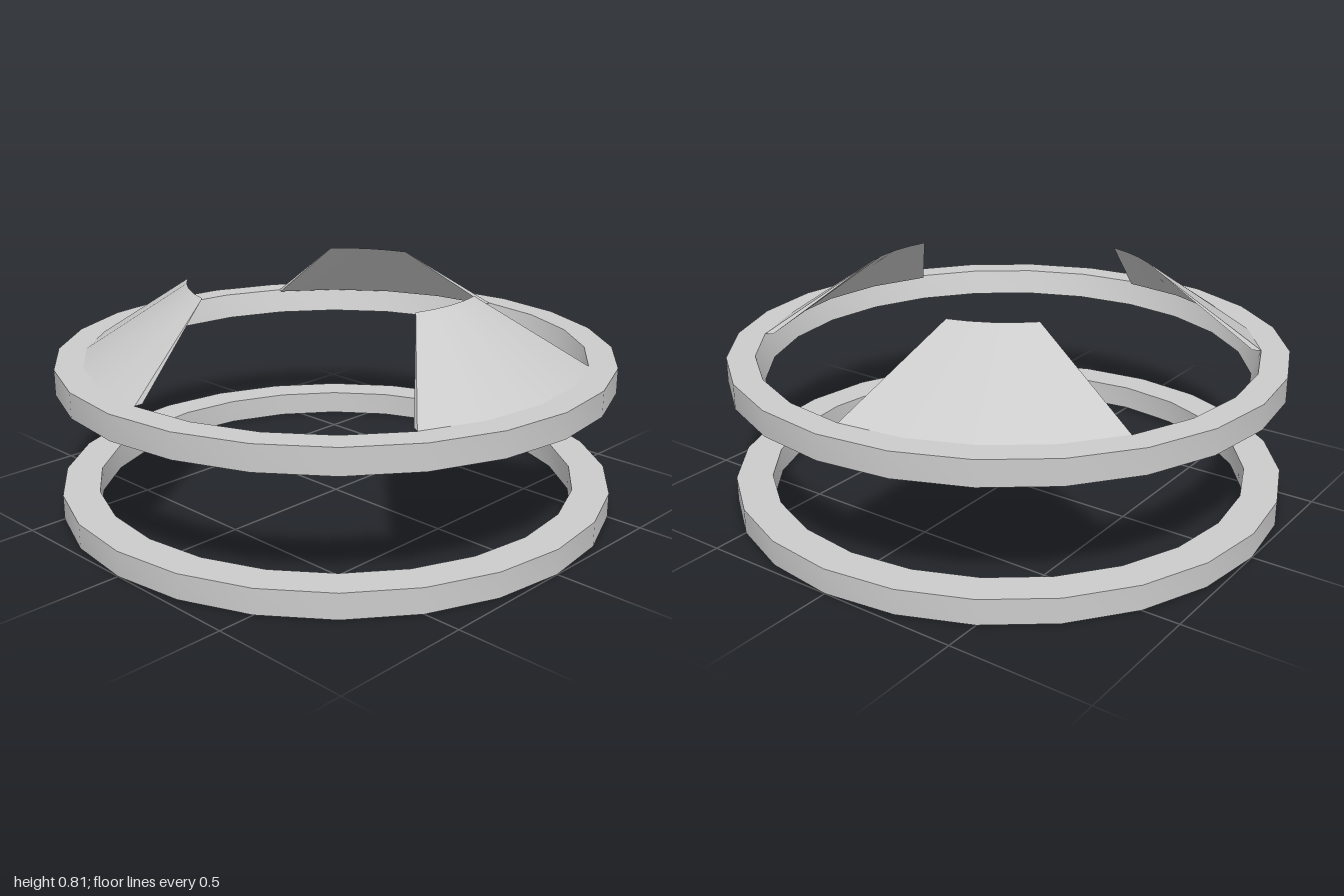
import * as THREE from 'three';
import { toCreasedNormals } from 'three/addons/utils/BufferGeometryUtils.js';

const CREASE = 0.5;
const material = new THREE.MeshStandardMaterial({ color: 0xcccccc });

function addMesh(group, name, geometry) {
  const mesh = new THREE.Mesh(toCreasedNormals(geometry, CREASE), material);
  mesh.name = name;
  group.add(mesh);
  return mesh;
}

// 24-sided band with its own inner radius at the bottom and the top
function ringGeometry(y0, y1, innerBottom, innerTop) {
  const profile = [[innerBottom, y0], [1, y0], [1, y1], [innerTop, y1], [innerBottom, y0]];
  return new THREE.LatheGeometry(profile.map(([r, y]) => new THREE.Vector2(r, y)), 24);
}

// Leaning curved blade: wedge cross-sections swept about y, narrowing upward
function bladeGeometry() {
  const n = 4;
  const corners = [ // radius, height, half angle in degrees
    [0.9, 0.555, 30], // outer foot
    [0.527, 0.81, 16.5], // sharp crest
    [0.87, 0.555, 30], // inner foot
  ];
  const positions = [];
  const index = [];
  for (let i = 0; i <= n; i++) {
    for (const [r, y, half] of corners) {
      const a = THREE.MathUtils.degToRad(half * (2 * i / n - 1));
      positions.push(r * Math.sin(a), y, r * Math.cos(a));
    }
  }
  for (let i = 0; i < n; i++) {
    const [a, t, b] = [3 * i, 3 * i + 1, 3 * i + 2];
    const [a2, t2, b2] = [a + 3, t + 3, b + 3];
    index.push(a, a2, t2, a, t2, t); // outer face
    index.push(b2, b, t, b2, t, t2); // inner face
    index.push(a, b, b2, a, b2, a2); // underside
  }
  const e = 3 * n;
  index.push(0, 1, 2, e, e + 2, e + 1); // end caps
  const geometry = new THREE.BufferGeometry();
  geometry.setAttribute('position', new THREE.Float32BufferAttribute(positions, 3));
  geometry.setIndex(index);
  return geometry;
}

export function createModel() {
  const model = new THREE.Group();
  model.name = 'ringAssembly';

  addMesh(model, 'lowerRing', ringGeometry(0, 0.09, 0.87, 0.87));
  addMesh(model, 'upperRing', ringGeometry(0.465, 0.555, 0.87, 0.9));

  // Three blades spaced evenly around the upper ring
  ['frontBlade', 'leftBlade', 'rightBlade'].forEach((name, i) => {
    addMesh(model, name, bladeGeometry()).rotation.y = i * Math.PI * 2 / 3;
  });
  return model;
}
